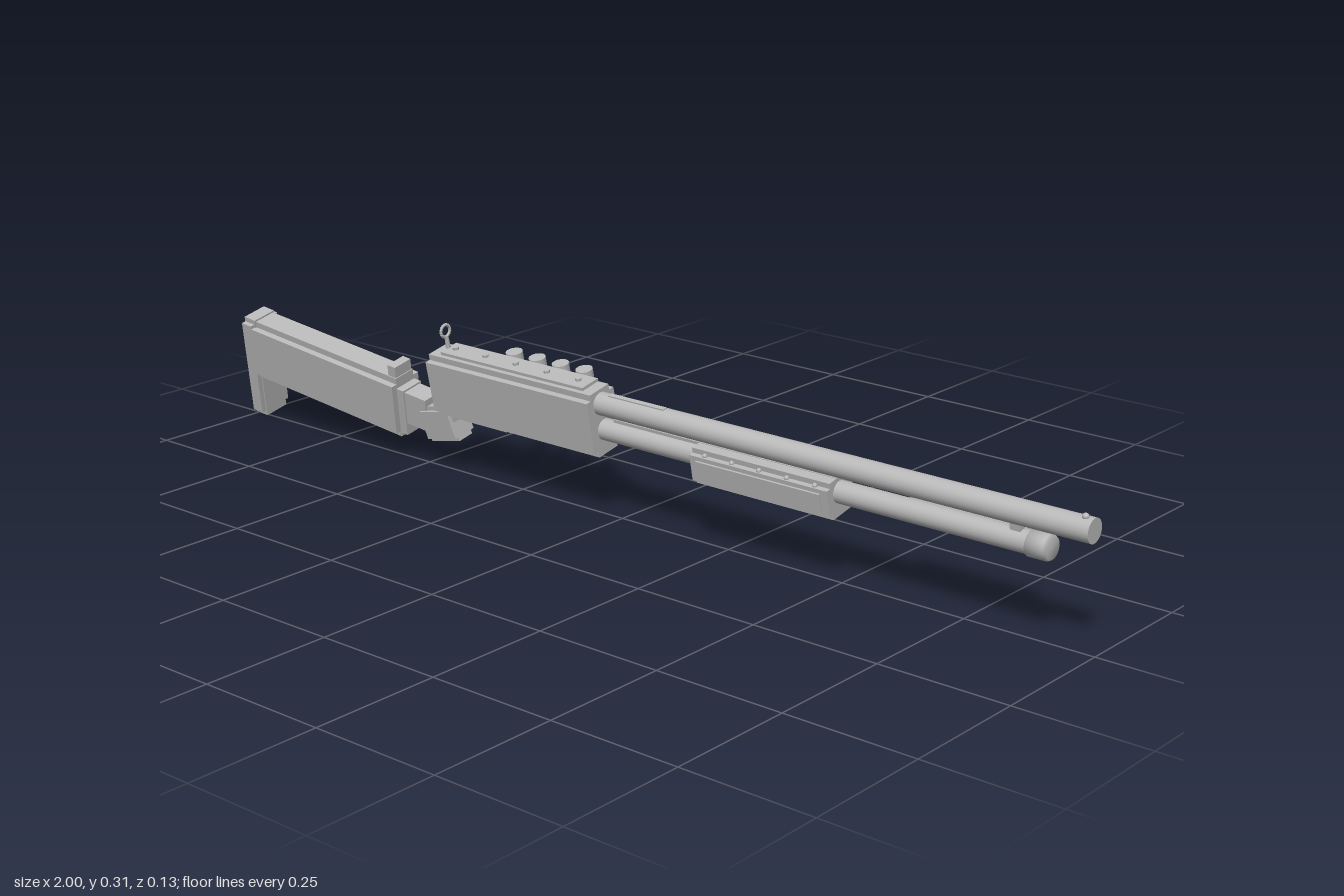
import * as THREE from 'three';

const grey = new THREE.MeshStandardMaterial({ color: 0xb8b8b8 });

function add(parent, name, geo, x = 0, y = 0, z = 0) {
  const m = new THREE.Mesh(geo, grey);
  m.name = name;
  m.position.set(x, y, z);
  parent.add(m);
  return m;
}
const box = (p, name, w, h, d, x, y, z = 0) => add(p, name, new THREE.BoxGeometry(w, h, d), x, y, z);

// Bar along x whose long corners are notched by a step
function stepped(p, name, x0, x1, y0, y1, hw, s) {
  const a = hw, b = hw - s, h = (y1 - y0) / 2, k = h - s;
  const pts = [[b, -h], [b, -k], [a, -k], [a, k], [b, k], [b, h], [-b, h], [-b, k], [-a, k], [-a, -k], [-b, -k], [-b, -h]];
  const shape = new THREE.Shape(pts.map(q => new THREE.Vector2(...q)));
  const g = new THREE.ExtrudeGeometry(shape, { depth: x1 - x0, bevelEnabled: false });
  g.rotateY(Math.PI / 2);
  return add(p, name, g, x0, (y0 + y1) / 2, 0);
}

// Solid of revolution along x; profile entries are [radius, x]
function turned(p, name, profile, y, z = 0) {
  const g = new THREE.LatheGeometry(profile.map(q => new THREE.Vector2(...q)), 24);
  g.rotateZ(-Math.PI / 2);
  return add(p, name, g, 0, y, z);
}
function rod(p, name, x0, x1, r, y, z = 0) {
  const g = new THREE.CylinderGeometry(r, r, x1 - x0, 24);
  g.rotateZ(-Math.PI / 2);
  return add(p, name, g, (x0 + x1) / 2, y, z);
}

// Thin five-armed ornament on the back side
function star(p, x, y, z, r) {
  const s = new THREE.Shape();
  for (let i = 0; i < 10; i++) {
    const a = i * Math.PI / 5 + Math.PI / 2, q = i % 2 ? r * 0.36 : r;
    s[i ? 'lineTo' : 'moveTo'](Math.cos(a) * q, Math.sin(a) * q);
  }
  const g = new THREE.ExtrudeGeometry(s, { depth: 0.005, bevelEnabled: false });
  g.rotateY(Math.PI);
  add(p, 'starOrnament', g, x, y, z);
}

export function createModel() {
  const root = new THREE.Group();
  const gun = new THREE.Group();
  gun.name = 'tiltedBody';
  gun.rotation.x = 0.21;
  gun.position.set(0, 0.005, -0.0235);
  root.add(gun);

  // Receiver with top rail and bolts
  stepped(gun, 'receiver', -0.44, -0.03, 0.122, 0.25, 0.038, 0.012);
  box(gun, 'topRail', 0.36, 0.006, 0.044, -0.23, 0.256);
  for (let i = 0; i < 5; i++)
    add(gun, 'railBolt', new THREE.CylinderGeometry(0.006, 0.006, 0.006, 10), -0.39 + i * 0.078, 0.261, 0);

  // Rear ring sight
  add(gun, 'sightStem', new THREE.CylinderGeometry(0.004, 0.005, 0.028, 10), -0.41, 0.27, 0);
  const ring = add(gun, 'sightRing', new THREE.TorusGeometry(0.0115, 0.0028, 8, 24), -0.41, 0.294, 0);
  ring.rotation.y = Math.PI / 2;
  for (let i = 0; i < 16; i++) {
    const a = i * Math.PI / 8;
    add(gun, 'ringBead', new THREE.SphereGeometry(0.0032, 8, 6), -0.41, 0.294 + 0.012 * Math.sin(a), 0.012 * Math.cos(a));
  }

  // Barrel, magazine tube and clamp
  rod(gun, 'barrel', -0.04, 1, 0.0218, 0.222);
  add(gun, 'frontBead', new THREE.SphereGeometry(0.006, 12, 8), 0.985, 0.245, 0);
  box(gun, 'barrelRib', 0.13, 0.004, 0.01, 0.06, 0.2435);
  rod(gun, 'magazineTube', -0.04, 0.89, 0.0205, 0.169);
  turned(gun, 'magazineCap', [[0, 0.88], [0.0235, 0.88], [0.0235, 0.914], [0.02, 0.92], [0, 0.921]], 0.169);
  box(gun, 'barrelClamp', 0.02, 0.04, 0.014, 0.855, 0.196);
  box(gun, 'actionBar', 0.5, 0.006, 0.012, 0.25, 0.195);

  // Pump grip with bolts
  stepped(gun, 'pumpGrip', 0.2, 0.5, 0.126, 0.197, 0.036, 0.01);
  for (const s of [-1, 1]) {
    box(gun, 'pumpSidePlate', 0.27, 0.034, 0.006, 0.35, 0.162, s * 0.037);
    for (let i = 0; i < 5; i++)
      add(gun, 'pumpBolt', new THREE.SphereGeometry(0.005, 8, 6), 0.23 + i * 0.06, 0.188, s * 0.029);
  }

  // Flashlight beside the magazine tube
  turned(gun, 'flashlight', [[0, 0.62], [0.019, 0.62], [0.022, 0.63], [0.022, 0.825], [0.025, 0.835],
    [0.025, 0.855], [0.022, 0.855], [0, 0.84]], 0.159, -0.047);
  box(gun, 'flashlightMount', 0.03, 0.012, 0.04, 0.8, 0.165, -0.022);

  // Spare shells on the back side
  box(gun, 'shellPlate', 0.25, 0.06, 0.008, -0.21, 0.19, -0.041);
  for (let i = 0; i < 4; i++) {
    const x = -0.297 + i * 0.059;
    add(gun, 'shell', new THREE.CylinderGeometry(0.0165, 0.0165, 0.085, 20), x, 0.203, -0.061);
    add(gun, 'shellRim', new THREE.CylinderGeometry(0.0175, 0.0175, 0.006, 20), x, 0.163, -0.061);
    box(gun, 'shellLoop', 0.04, 0.022, 0.02, x, 0.195, -0.05);
  }
  star(gun, -0.375, 0.185, -0.038, 0.02);

  // Trigger, guard strip and grip
  box(gun, 'guardStrip', 0.13, 0.004, 0.012, -0.35, 0.108);
  const grip = stepped(gun, 'grip', -0.04, 0.04, -0.037, 0.037, 0.026, 0.008);
  grip.position.set(-0.455, 0.092, 0);
  grip.geometry.translate(-0.04, 0, 0);
  grip.geometry.translate(0.0, 0, 0);
  grip.position.x += 0.0;
  grip.rotation.z = 0.22;
  box(gun, 'gripLink', 0.04, 0.04, 0.036, -0.433, 0.125);
  const neck = box(gun, 'neck', 0.06, 0.07, 0.044, -0.515, 0.107);
  neck.rotation.z = -0.12;

  // Shoulder stock, tilted downward to the front
  const stock = new THREE.Group();
  stock.name = 'stock';
  stock.position.set(-0.757, 0.131, 0);
  stock.rotation.z = -0.12;
  gun.add(stock);
  stepped(stock, 'stockBody', -0.2, 0.2, -0.066, 0.066, 0.037, 0.013);
  box(stock, 'stockFrontPlate', 0.02, 0.1, 0.05, 0.208, -0.006);
  box(stock, 'stockHook', 0.02, 0.03, 0.044, 0.188, 0.074);
  box(stock, 'buttPlate', 0.026, 0.205, 0.074, -0.212, -0.043);
  box(stock, 'buttCore', 0.03, 0.225, 0.054, -0.211, -0.043);
  star(stock, 0.02, 0.005, -0.037, 0.032);
  box(stock, 'badgePlate', 0.04, 0.024, 0.005, -0.085, -0.015, -0.039);
  box(stock, 'badgeStud', 0.018, 0.012, 0.008, -0.085, -0.015, -0.041);

  // Rest on the ground and centre
  root.updateMatrixWorld(true);
  const b = new THREE.Box3().setFromObject(root, true);
  gun.position.y -= b.min.y;
  gun.position.x -= (b.min.x + b.max.x) / 2;
  gun.position.z -= (b.min.z + b.max.z) / 2;
  return root;
}
